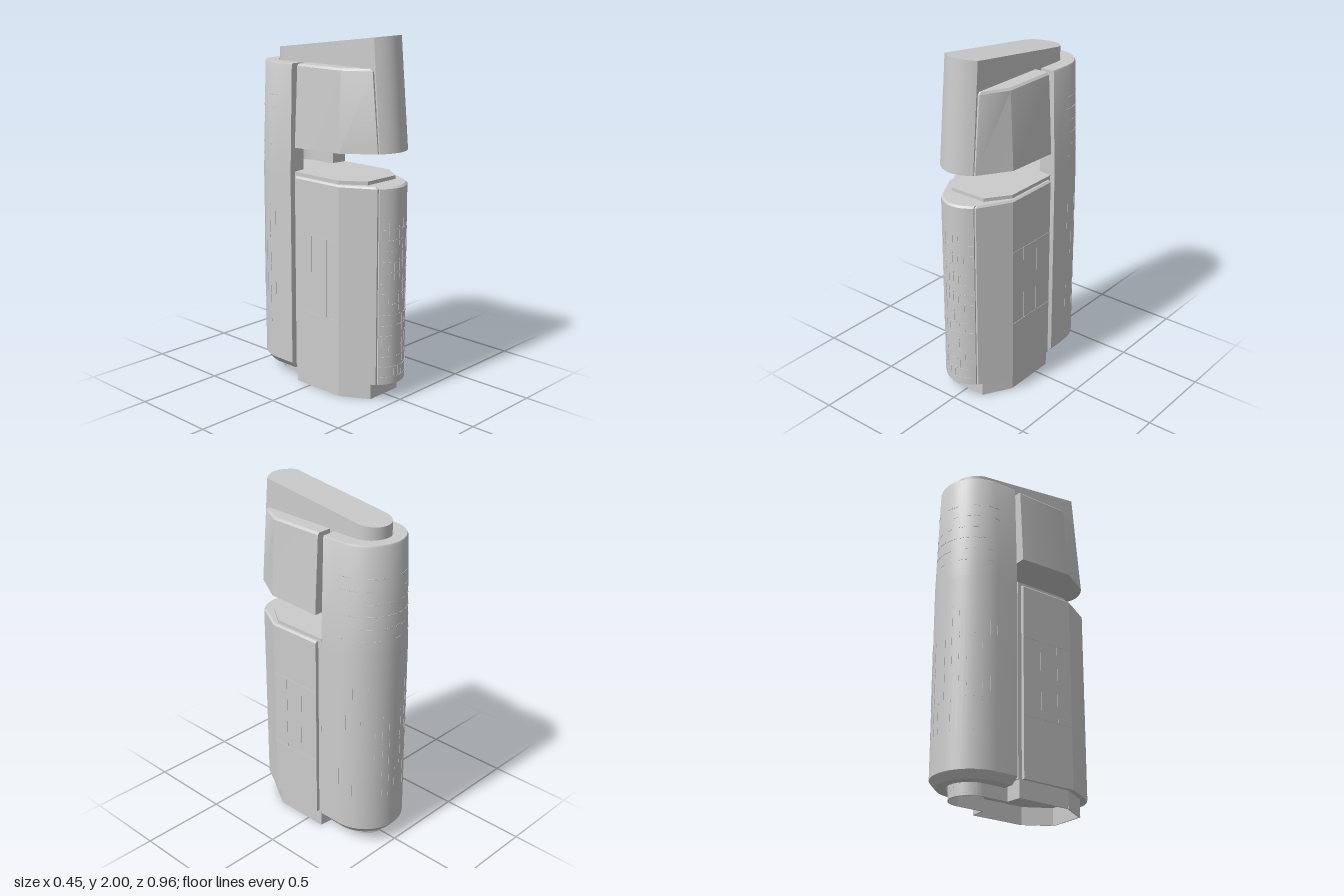
import * as THREE from 'three';
import { mergeGeometries, toCreasedNormals } from 'three/addons/utils/BufferGeometryUtils.js';

const material = new THREE.MeshStandardMaterial({ color: 0xcccccc, side: THREE.DoubleSide });

// Lofts plan outlines ([x, z] points); each level's y is a number or a function of z
function loft(levels) {
  const first = levels[0].plan.map(([x, z]) => new THREE.Vector2(x, -z));
  const flip = THREE.ShapeUtils.isClockWise(first);
  const rings = levels.map(({ plan, y }) => {
    const ring = plan.map(([x, z]) => [x, typeof y === 'function' ? y(z) : y, z]);
    return flip ? ring.reverse() : ring;
  });
  const n = first.length, pos = [];
  const tri = (a, b, c) => pos.push(...a, ...b, ...c);
  for (let k = 0; k < rings.length - 1; k++) {
    for (let i = 0; i < n; i++) {
      const j = (i + 1) % n, lo = rings[k], hi = rings[k + 1];
      tri(lo[i], lo[j], hi[j]);
      tri(lo[i], hi[j], hi[i]);
    }
  }
  const cap = (ring, up) => {
    const flat = ring.map(([x, , z]) => new THREE.Vector2(x, -z));
    for (const [a, b, c] of THREE.ShapeUtils.triangulateShape(flat, [])) {
      if (up) tri(ring[a], ring[b], ring[c]);
      else tri(ring[a], ring[c], ring[b]);
    }
  };
  cap(rings[0], false);
  cap(rings[rings.length - 1], true);
  const geo = new THREE.BufferGeometry();
  geo.setAttribute('position', new THREE.Float32BufferAttribute(pos, 3));
  return toCreasedNormals(geo, 0.5);
}

// Half circle round the back, running from +x to -x
function backArc(r, cz, steps = 28) {
  return Array.from({ length: steps + 1 }, (_, i) => {
    const a = (i / steps) * Math.PI;
    return [r * Math.cos(a), cz - r * Math.sin(a)];
  });
}

// Shallow bow across the front, running from -x to +x
function frontBow(w, zSide, zMid, steps = 12) {
  return Array.from({ length: steps + 1 }, (_, i) => {
    const t = (i / steps) * 2 - 1;
    return [w * t, zSide + (zMid - zSide) * (1 - t * t)];
  });
}

const mirrorPlan = (half) => [...half, ...half.map(([x, z]) => [-x, z]).reverse()];

function seeded(seed) {
  return () => (seed = (seed * 16807) % 2147483647) / 2147483647;
}

export function createModel() {
  const model = new THREE.Group();
  const add = (name, geo, parent = model) => {
    const mesh = new THREE.Mesh(geo, material);
    mesh.name = name;
    parent.add(mesh);
    return mesh;
  };
  const bar = (w, h, d, x, y, z, turn = 0) =>
    new THREE.BoxGeometry(w, h, d).rotateY(turn).translate(x, y, z);

  // Rear shell: U in plan, chamfered foot, leaning in towards the top
  const shellPlan = (R, r, zFront) => [
    [R, zFront], ...backArc(R, -0.26), [-R, zFront],
    [-r, zFront], ...backArc(r, -0.27).reverse(), [r, zFront],
  ];
  add('rearShell', loft([
    { plan: shellPlan(0.188, 0.125, -0.14), y: 0.065 },
    { plan: shellPlan(0.221, 0.118, -0.13), y: 0.105 },
    { plan: shellPlan(0.221, 0.118, -0.13), y: 1.2 },
    { plan: shellPlan(0.203, 0.118, -0.13), y: 1.82 },
    { plan: shellPlan(0.198, 0.12, -0.13), y: 1.83 },
  ]));

  // Upper slab: sloping roof, raked bowed front, round back
  const undersideY = (z) => 1.374 + 0.033 * (z + 0.13);
  const roofY = (z) => 2 - (0.43 - z) * 0.129;
  const slabPlan = (w, zSide, zMid) => [...backArc(w, -0.275), ...frontBow(w, zSide, zMid)];
  add('upperSlab', loft([
    { plan: slabPlan(0.114, 0.432, 0.48), y: undersideY },
    { plan: slabPlan(0.11, 0.38, 0.428), y: roofY },
  ]));

  // Lower core, inside the shell and the lower block
  add('lowerCore', loft([0.1, 1.232].map((y) => ({ plan: slabPlan(0.112, 0.3, 0.34), y }))));

  // Lower block behind the cladding
  const blockPlan = mirrorPlan([[0.112, -0.125], [0.204, -0.113], [0.204, 0.22], [0.112, 0.35]]);
  add('lowerBlock', loft([0.1, 1.235].map((y) => ({ plan: blockPlan, y }))));

  // Bowed front bay
  const bayPlan = (inset) => [
    [0.112, 0.3], [-0.112, 0.3], ...frontBow(0.112, 0.432 - inset, 0.48 - inset),
  ];
  add('frontBay', loft([
    { plan: bayPlan(0), y: 0.1 },
    { plan: bayPlan(0), y: 1.205 },
    { plan: bayPlan(0.012), y: 1.215 },
  ]));

  // Side cladding with a chamfered front corner, mirrored
  const wingPlan = (s, w, zCorner, zNose) => [
    [0.108, -0.09], [w, -0.09], [w, zCorner], [0.122, zNose], [0.108, zNose],
  ].map(([x, z]) => [x * s, z]);
  for (const [s, side] of [[1, 'left'], [-1, 'right']]) {
    add(side + 'UpperWing', loft([
      { plan: wingPlan(s, 0.225, 0.24, 0.425), y: undersideY },
      { plan: wingPlan(s, 0.201, 0.232, 0.384), y: 1.82 },
      { plan: wingPlan(s, 0.19, 0.225, 0.37), y: 1.832 },
    ]));
    add(side + 'LowerWing', loft([
      { plan: wingPlan(s, 0.224, 0.24, 0.425), y: 0.1 },
      { plan: wingPlan(s, 0.224, 0.24, 0.425), y: 1.205 },
      { plan: wingPlan(s, 0.214, 0.233, 0.41), y: 1.215 },
    ]));
    // Panel joints on the flat side
    const joints = [0.45, 0.9].map((y) => bar(0.004, 0.004, 0.33, s * 0.224, y, 0.075));
    for (const z of [0.145, 0.03]) joints.push(bar(0.004, 0.45, 0.006, s * 0.224, 0.675, z));
    add(side + 'PanelJoints', mergeGeometries(joints));
  }

  // Base skirt: thin wall, open below
  const skirt = mirrorPlan([
    ...backArc(0.11, -0.27).slice(0, 15).reverse(),
    [0.11, -0.11], [0.2, -0.1], [0.2, 0.22], [0.11, 0.375],
  ]);
  const wall = [];
  skirt.forEach((a, i) => {
    const b = skirt[(i + 1) % skirt.length];
    const dx = b[0] - a[0], dz = b[1] - a[1], length = Math.hypot(dx, dz);
    if (length > 0.001) {
      wall.push(bar(length + 0.004, 0.11, 0.008, (a[0] + b[0]) / 2, 0.055, (a[1] + b[1]) / 2, -Math.atan2(dz, dx)));
    }
  });
  add('baseSkirt', mergeGeometries(wall));

  // Fine window bars on the front bay
  const random = seeded(11);
  const frontBars = [];
  for (let y = 0.14; y < 1.0; y += 0.06) {
    for (let x = -0.095; x < 0.1; x += 0.0317) {
      const z = 0.48 - 0.048 * (x / 0.112) ** 2;
      const turn = Math.atan(7.65 * x);
      if (random() < 0.6) frontBars.push(bar(0.03, 0.005, 0.004, x, y, z, turn));
      if (random() < 0.5) frontBars.push(bar(0.004, 0.05, 0.004, x, y + 0.03, z, turn));
    }
  }
  add('frontWindowBars', mergeGeometries(frontBars));

  // Fine window bars round the back: tall below, short rows above
  const backBars = [];
  const onShell = (a, y, w, h) => {
    const R = y < 1.2 ? 0.221 : 0.221 - (y - 1.2) * 0.029;
    backBars.push(bar(w, h, 0.003, R * Math.cos(a), y, -0.26 - R * Math.sin(a), Math.PI / 2 + a));
  };
  for (let i = 0; i <= 16; i++) {
    const a = (i / 16) * Math.PI;
    for (let y = 0.4; y < 1.0; y += 0.18) if (random() < 0.6) onShell(a, y, 0.004, 0.17);
    for (let y = 1.3; y < 1.7; y += 0.07) if (random() < 0.6) onShell(a, y, 0.035, 0.005);
  }
  add('backWindowBars', mergeGeometries(backBars));

  return model;
}
